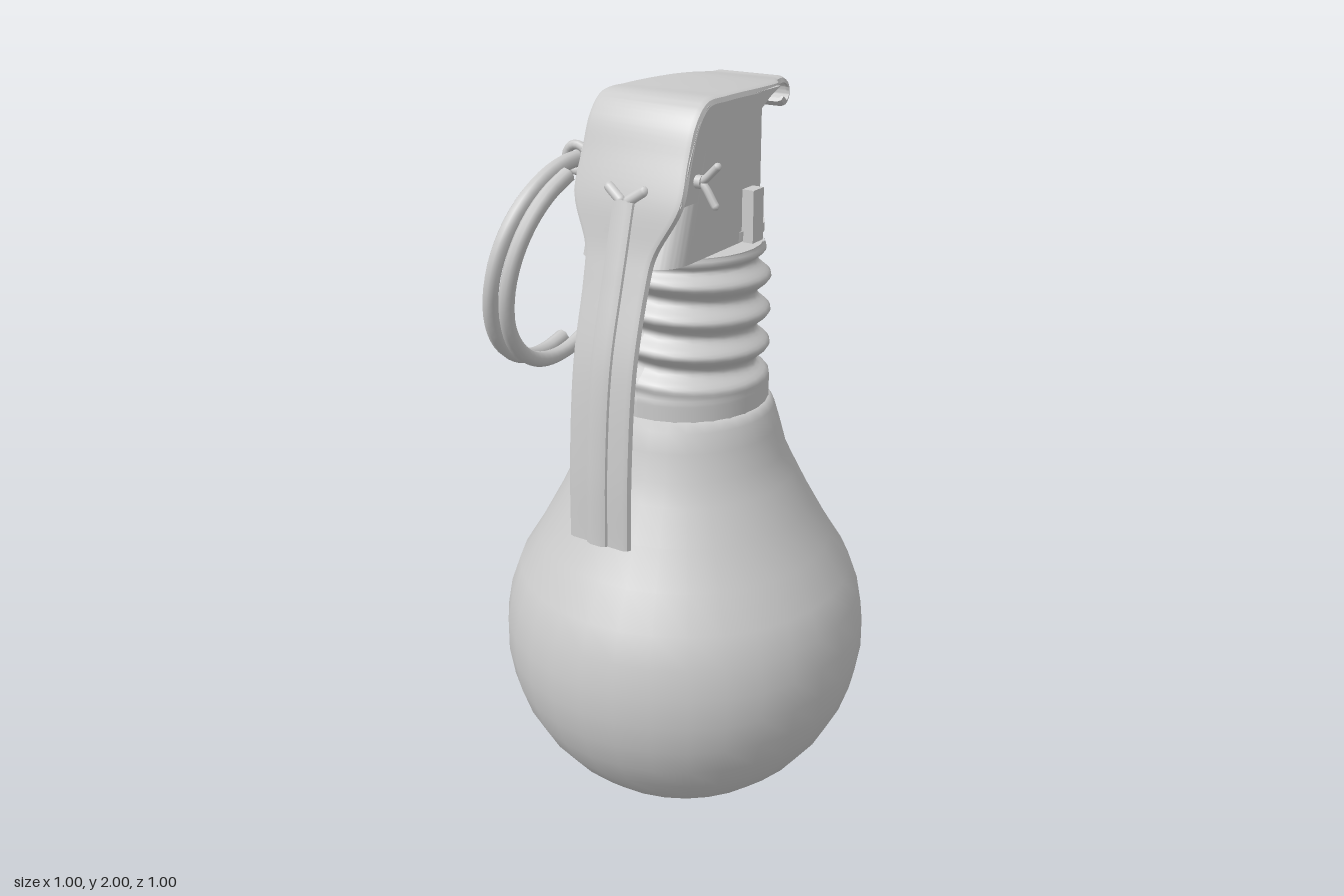
import * as THREE from 'three';
import { toCreasedNormals } from 'three/addons/utils/BufferGeometryUtils.js';

const grey = new THREE.MeshStandardMaterial({ color: 0xcccccc });
const V = (x, y, z) => new THREE.Vector3(x, y, z);

function add(group, name, geometry, x = 0, y = 0, z = 0) {
  const mesh = new THREE.Mesh(geometry, grey);
  mesh.name = name;
  mesh.position.set(x, y, z);
  group.add(mesh);
  return mesh;
}

function tube(points, radius, segments = 12) {
  return new THREE.TubeGeometry(new THREE.CatmullRomCurve3(points), segments, radius, 8);
}

// Pressed sheet: a shallow channel swept along [z, y, halfWidth] points.
function pressedSheet(path, steps, lip, lift = 0) {
  const curve = new THREE.CatmullRomCurve3(path.map(p => V(...p)));
  const pos = [], index = [];
  for (let i = 0; i <= steps; i++) {
    const p = curve.getPoint(i / steps), t = curve.getTangent(i / steps);
    const len = Math.hypot(t.x, t.y), nz = t.y / len, ny = -t.x / len, w = p.z;
    const right = [[w, -lip], [w - 0.3 * lip, -0.3 * lip], [w - lip, 0]];
    const inner = [[w - 0.008, -lip], [w - 0.3 * lip - 0.006, -0.3 * lip - 0.006], [w - lip, -0.01]];
    const mirror = list => list.map(([x, n]) => [-x, n]).reverse();
    const loop = [...right, ...mirror(right), ...[...inner, ...mirror(inner)].reverse()];
    for (const [x, n] of loop) pos.push(x, p.y + ny * (n + lift), p.x + nz * (n + lift));
  }
  const N = 12;
  const quad = (a, b, c, d) => index.push(a, b, c, a, c, d);
  for (let i = 0; i < steps; i++)
    for (let j = 0; j < N; j++) {
      const k = (j + 1) % N;
      quad(i * N + j, (i + 1) * N + j, (i + 1) * N + k, i * N + k);
    }
  for (let j = 0; j < 5; j++) {
    const e = steps * N;
    quad(j, j + 1, N - 2 - j, N - 1 - j);
    quad(e + j, e + N - 1 - j, e + N - 2 - j, e + j + 1);
  }
  const geo = new THREE.BufferGeometry();
  geo.setAttribute('position', new THREE.Float32BufferAttribute(pos, 3));
  geo.setIndex(index);
  return toCreasedNormals(geo, 0.7);
}

// Round bulb with a tapering shoulder
function bulbGeometry() {
  const pts = [];
  for (let i = 0; i <= 12; i++) {
    const a = -Math.PI / 2 + (i / 12) * (Math.PI / 2 + 0.43);
    pts.push(new THREE.Vector2(Math.max(0, 0.503 * Math.cos(a)), 0.508 + 0.503 * Math.sin(a)));
  }
  for (const p of [[0.4, 0.81], [0.345, 0.91], [0.3, 1.0], [0.272, 1.06], [0.253, 1.13], [0.238, 1.18], [0.222, 1.205], [0.15, 1.21]])
    pts.push(new THREE.Vector2(...p));
  return new THREE.LatheGeometry(pts, 32);
}

// Screw neck: radius follows a helical wave between collar and rim
function neckGeometry() {
  const pts = [];
  for (let i = 0; i <= 56; i++) pts.push(new THREE.Vector2(0.22, 1.2 + (0.42 * i) / 56));
  const geo = new THREE.LatheGeometry(pts, 28);
  const p = geo.attributes.position;
  for (let i = 0; i < p.count; i++) {
    const x = p.getX(i), y = p.getY(i), z = p.getZ(i);
    const wave = 0.5 - 0.5 * Math.cos(2 * Math.PI * ((y - 1.56) / 0.09) + Math.atan2(x, z));
    const mask = THREE.MathUtils.smoothstep(y, 1.25, 1.3) * (1 - THREE.MathUtils.smoothstep(y, 1.58, 1.61));
    const rim = 0.02 * THREE.MathUtils.smoothstep(y, 1.58, 1.62);
    const s = (0.222 - 0.036 * wave * mask - rim) / 0.22;
    p.setXYZ(i, x * s, y, z * s);
  }
  geo.computeVertexNormals();
  return geo;
}

// Fuse housing: round at the back, sloping inwards at the front
function housingGeometry() {
  const s = new THREE.Shape();
  s.moveTo(0.143, 0.09);
  s.absarc(0, 0.09, 0.143, 0, Math.PI, false);
  s.lineTo(-0.143, -0.2);
  s.quadraticCurveTo(-0.14, -0.285, -0.07, -0.285);
  s.lineTo(0.07, -0.285);
  s.quadraticCurveTo(0.14, -0.285, 0.143, -0.2);
  const h = 0.335;
  const geo = new THREE.ExtrudeGeometry(s, { depth: h, bevelEnabled: false, curveSegments: 20 });
  geo.rotateX(-Math.PI / 2);
  const p = geo.attributes.position;
  for (let i = 0; i < p.count; i++)
    if (p.getZ(i) > 0) p.setZ(i, p.getZ(i) * (1 - 0.47 * (p.getY(i) / h)));
  return toCreasedNormals(geo, 0.6);
}

// Side skirt of the lever, drawn in (z, y)
function skirtGeometry() {
  const s = new THREE.Shape();
  s.moveTo(0.255, 1.77);
  s.lineTo(0.216, 1.87);
  s.lineTo(0.18, 1.945);
  s.lineTo(0.137, 1.985);
  s.lineTo(-0.2, 1.984);
  s.splineThru([[-0.15, 1.965], [-0.1, 1.94], [-0.02, 1.928], [0.08, 1.935], [0.13, 1.92], [0.165, 1.84], [0.185, 1.77]]
    .map(p => new THREE.Vector2(...p)));
  const geo = new THREE.ExtrudeGeometry(s, { depth: 0.012, bevelEnabled: false, curveSegments: 5 });
  geo.rotateY(-Math.PI / 2);
  return toCreasedNormals(geo, 0.6);
}

export function createModel() {
  const model = new THREE.Group();
  model.name = 'bulbGrenade';

  add(model, 'bulb', bulbGeometry());
  add(model, 'screwNeck', neckGeometry());
  add(model, 'neckRim', new THREE.CylinderGeometry(0.2, 0.2, 0.01, 28), 0, 1.617, 0);

  add(model, 'fuseHousing', housingGeometry(), 0, 1.622, 0);
  add(model, 'housingFlange', new THREE.CylinderGeometry(0.157, 0.157, 0.024, 28), 0, 1.637, -0.09);
  for (const side of [-1, 1])
    add(model, 'sideTab', new THREE.BoxGeometry(0.045, 0.14, 0.05), side * 0.153, 1.685, -0.065);

  // Safety lever with curled back end, skirts and raised rib
  const lever = new THREE.Group();
  lever.name = 'safetyLever';
  model.add(lever);
  const strap = [[0.405, 0.925, 0.092], [0.398, 1.13, 0.092], [0.37, 1.385, 0.092], [0.317, 1.58, 0.094], [0.295, 1.655, 0.102], [0.262, 1.77, 0.155]];
  const top = [[0.225, 1.87, 0.155], [0.19, 1.95, 0.155], [0.14, 1.995, 0.155], [0.05, 2.0, 0.155], [-0.13, 1.996, 0.153], [-0.22, 1.992, 0.14], [-0.275, 1.99, 0.108]];
  const curl = [[-0.315, 1.988, 0.105], [-0.345, 1.965, 0.105], [-0.347, 1.93, 0.105], [-0.322, 1.91, 0.105], [-0.298, 1.925, 0.105]];
  add(lever, 'leverPlate', pressedSheet([...strap, ...top, ...curl], 102, 0.016));
  const ribPath = strap.map(([z, y]) => [z, y, 0.034]);
  add(lever, 'leverRib', pressedSheet(ribPath, 40, 0.02, 0.012));
  for (const side of [-1, 1]) {
    add(lever, 'leverSkirt', skirtGeometry(), side > 0 ? 0.154 : -0.142, 0, 0);
    const horn = add(lever, 'ribHorn', new THREE.CapsuleGeometry(0.014, 0.045, 4, 10), side * 0.03, 1.782, 0.256);
    horn.rotation.set(-0.35, 0, -side * 0.95);
  }

  // Cotter pin with eyelet and splayed ends
  const pin = new THREE.Group();
  pin.name = 'safetyPin';
  pin.position.set(0, 1.82, 0.187);
  model.add(pin);
  const shaft = add(pin, 'pinShaft', new THREE.CylinderGeometry(0.016, 0.016, 0.34, 10));
  shaft.rotation.z = Math.PI / 2;
  add(pin, 'pinEyelet', new THREE.TorusGeometry(0.032, 0.012, 8, 18), -0.192, 0.015, 0);
  for (const [dx, dy] of [[0.21, 0.04], [0.205, -0.052]]) {
    add(pin, 'pinProng', tube([V(0.14, 0, 0), V(0.17, dy * 0.1, 0), V(dx, dy, 0)], 0.01));
    add(pin, 'prongTip', new THREE.SphereGeometry(0.01, 8, 6), dx, dy, 0);
  }

  // Pull ring: one and a half turns of tilted wire
  const turns = [];
  for (let deg = -110; deg <= 430; deg += 15) {
    const a = THREE.MathUtils.degToRad(deg), dy = 0.26 * Math.sin(a);
    turns.push(V(-0.23 + 0.2 * dy + (0.05 * (deg - 160)) / 360, 1.575 + dy, 0.2 + 0.26 * Math.cos(a)));
  }
  const ring = new THREE.Group();
  ring.name = 'pullRing';
  model.add(ring);
  add(ring, 'ringWire', tube(turns, 0.02, 90));
  for (const [end, next] of [[turns[0], turns[1]], [turns.at(-1), turns.at(-2)]]) {
    const cap = add(ring, 'ringEnd', new THREE.CircleGeometry(0.02, 8), end.x, end.y, end.z);
    cap.lookAt(end.clone().multiplyScalar(2).sub(next));
  }
  return model;
}
